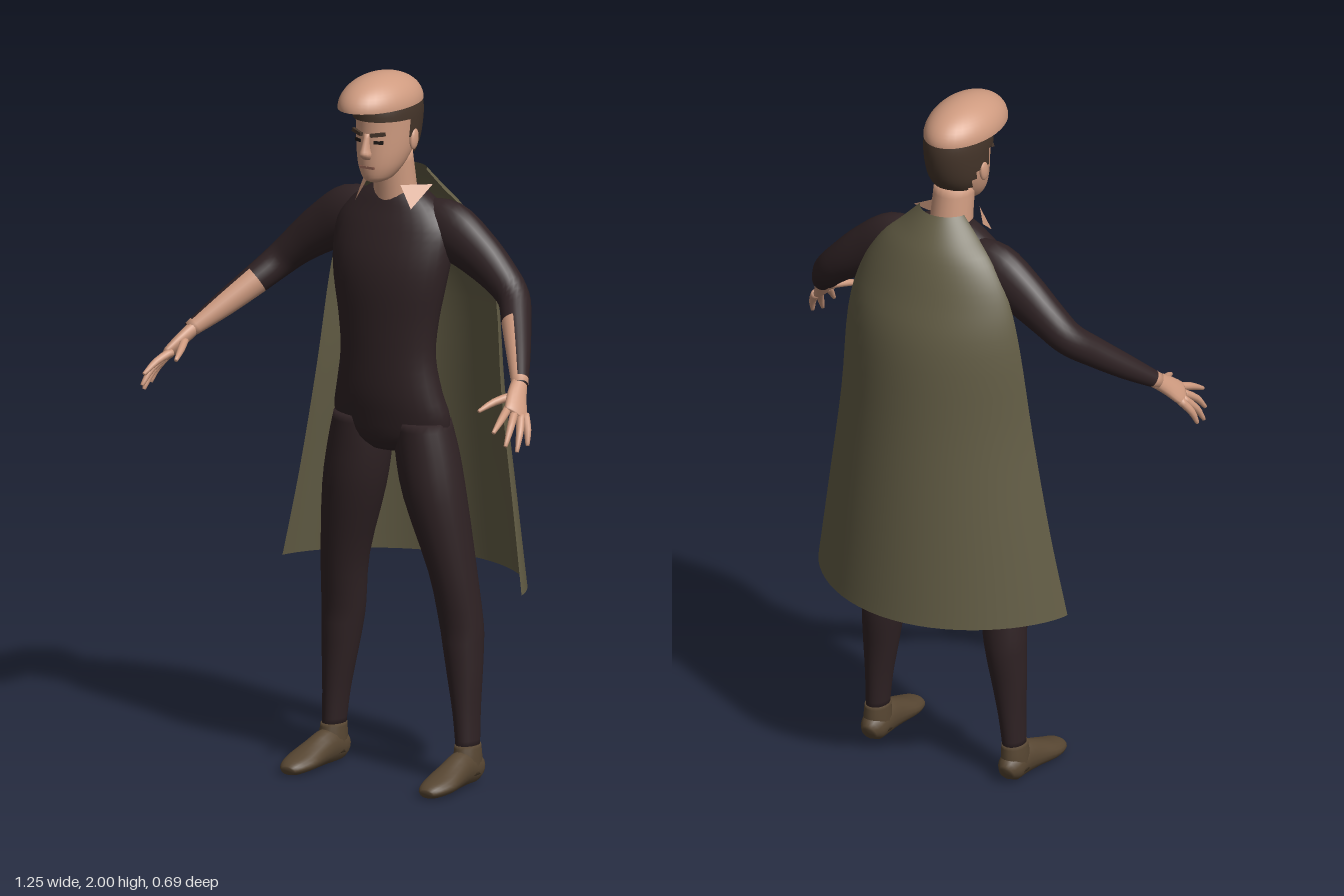
import * as THREE from 'three';

const material = (name, color, side = THREE.FrontSide) => {
  const m = new THREE.MeshStandardMaterial({ color, side });
  m.name = name;
  return m;
};
const skin = material('skin', 0xcf9b80, THREE.DoubleSide);
const suit = material('dark suit', 0x2f2224);
const boots = material('brown boots', 0x574632);
const hair = material('brown hair', 0x45352a, THREE.DoubleSide);
const cloth = material('olive cape', 0x635d45, THREE.DoubleSide);
const dark = material('dark eyes', 0x1d1715);
const lip = material('lips', 0x8f5f50);

const V = (x, y, z) => new THREE.Vector3(x, y, z);

// Catmull-Rom refinement of a list of number rows
function refine(rows, k) {
  const out = [];
  for (let i = 0; i < rows.length - 1; i++) {
    const [a, b, c, d] = [rows[Math.max(i - 1, 0)], rows[i], rows[i + 1], rows[Math.min(i + 2, rows.length - 1)]];
    for (let s = 0; s < k; s++) {
      const t = s / k;
      out.push(b.map((_, j) => b[j] + 0.5 * t * (c[j] - a[j]
        + t * (2 * a[j] - 5 * b[j] + 4 * c[j] - d[j] + t * (3 * (b[j] - c[j]) + d[j] - a[j])))));
    }
  }
  out.push(rows[rows.length - 1]);
  return out;
}

// Surface through rows of points; pick(centroid, row) gives a material index, or -1 for a gap
function grid(rows, { closed = false, caps = false, pick = () => 0 } = {}) {
  const n = rows[0].length, pos = [], buckets = [[], []];
  rows.forEach(r => r.forEach(p => pos.push(p.x, p.y, p.z)));
  for (let i = 0; i < rows.length - 1; i++) {
    for (let j = 0; j < (closed ? n : n - 1); j++) {
      const k = (j + 1) % n;
      const mid = rows[i][j].clone().add(rows[i][k]).add(rows[i + 1][j]).add(rows[i + 1][k]).multiplyScalar(0.25);
      const m = pick(mid, i);
      if (m < 0) continue;
      const a = i * n + j, b = i * n + k, c = b + n, d = a + n;
      buckets[m].push(a, b, c, a, c, d);
    }
  }
  if (caps) for (const i of [0, rows.length - 1]) {
    const mid = rows[i].reduce((s, p) => s.add(p), V(0, 0, 0)).multiplyScalar(1 / n);
    const id = pos.push(mid.x, mid.y, mid.z) / 3 - 1;
    for (let j = 0; j < n; j++) {
      const a = i * n + j, b = i * n + (j + 1) % n;
      buckets[0].push(...(i ? [id, a, b] : [id, b, a]));
    }
  }
  const g = new THREE.BufferGeometry();
  g.setAttribute('position', new THREE.Float32BufferAttribute(pos, 3));
  g.setIndex([...buckets[0], ...buckets[1]]);
  g.addGroup(0, buckets[0].length, 0);
  g.addGroup(buckets[0].length, buckets[1].length, 1);
  g.computeVertexNormals();
  return g;
}

// Elliptical rings [x, y, z, width radius, depth radius]; upright rings stay level
function loft(rings, { n = 20, k = 3, up = V(0, 1, 0), upright = false, pick } = {}) {
  const R = refine(rings, k), at = i => V(...R[Math.min(Math.max(i, 0), R.length - 1)].slice(0, 3));
  const rows = R.map((r, i) => {
    const t = upright ? V(0, 1, 0) : at(i + 1).sub(at(i - 1)).normalize();
    const u = (upright ? V(0, 0, -1) : up.clone()).cross(t).normalize(), v = t.clone().cross(u);
    return Array.from({ length: n }, (_, j) => {
      const a = j / n * Math.PI * 2;
      return at(i).addScaledVector(u, r[3] * Math.cos(a)).addScaledVector(v, r[4] * Math.sin(a));
    });
  });
  return grid(rows, { closed: true, caps: !pick || up.caps, pick: pick && ((p, i) => pick(p, at(i).lerp(at(i + 1), 0.5))) });
}

export function createModel() {
  const root = new THREE.Group();
  const add = (name, geo, mat, parent = root) => {
    const m = new THREE.Mesh(geo, mat);
    m.name = name;
    if (!Array.isArray(mat)) geo.clearGroups();
    parent.add(m);
    return m;
  };
  const mirrorX = (rings, s) => rings.map(([x, ...r]) => [x * s, ...r]);

  // Torso and neck
  add('torso', loft([
    [0, 0.93, -0.025, 0.08, 0.05], [0, 0.965, -0.025, 0.165, 0.08], [0, 1.03, -0.018, 0.182, 0.088],
    [0, 1.1, -0.005, 0.165, 0.086], [0, 1.2, 0.002, 0.147, 0.083], [0, 1.3, 0, 0.155, 0.088],
    [0, 1.4, -0.006, 0.174, 0.096], [0, 1.48, -0.018, 0.185, 0.098], [0, 1.56, -0.034, 0.183, 0.088],
    [0, 1.61, -0.042, 0.15, 0.075], [0, 1.645, -0.045, 0.105, 0.064], [0, 1.665, -0.045, 0.07, 0.05]],
  { n: 32, upright: true }), suit);
  add('neck', loft([[0, 1.6, -0.04, 0.064, 0.06], [0, 1.67, -0.032, 0.059, 0.06], [0, 1.77, -0.015, 0.056, 0.06]],
    { upright: true }), skin);

  // Head
  const headRings = [
    [0, 1.698, 0.062, 0.018, 0.022], [0, 1.708, 0.052, 0.038, 0.048], [0, 1.735, 0.038, 0.056, 0.069],
    [0, 1.765, 0.024, 0.067, 0.085], [0, 1.8, 0.012, 0.074, 0.097], [0, 1.85, 0.005, 0.078, 0.104],
    [0, 1.9, 0.004, 0.079, 0.105], [0, 1.94, 0.004, 0.07, 0.09], [0, 1.965, 0.01, 0.045, 0.06]];
  const head = new THREE.Group();
  head.name = 'head';
  root.add(head);
  add('face', loft(headRings, { n: 28, upright: true }), skin, head);
  add('hair', loft(headRings.map(([x, y, z, a, b]) => [x, y, z - 0.002, a + 0.009, b + 0.009]), {
    n: 36, k: 4, upright: true,
    pick: p => (p.y > 1.872 || (p.z < 0.015 && p.y > 1.825) || (p.z < -0.035 && p.y > 1.762)) ? 0 : -1,
  }), hair, head);
  const dome = add('skullCap', new THREE.SphereGeometry(1, 36, 14, 0, Math.PI * 2, 0, Math.PI / 2), skin, head);
  dome.scale.set(0.097, 0.085, 0.155);
  dome.position.set(0, 1.915, 0.04);
  add('nose', loft([[0, 1.768, 0.106, 0.012, 0.01], [0, 1.782, 0.113, 0.017, 0.02],
    [0, 1.8, 0.112, 0.012, 0.017], [0, 1.84, 0.106, 0.008, 0.008]], { n: 12, upright: true }), skin, head);
  add('mouth', new THREE.BoxGeometry(0.046, 0.007, 0.008), lip, head).position.set(0, 1.744, 0.104);

  for (const s of [1, -1]) {
    const side = s > 0 ? 'left' : 'right';

    // Facial features
    const brow = add(side + 'Brow', new THREE.BoxGeometry(0.042, 0.01, 0.009), hair, head);
    brow.position.set(s * 0.034, 1.84, 0.103);
    brow.rotation.set(0, s * 0.4, s * 0.14);
    const eye = add(side + 'Eye', new THREE.BoxGeometry(0.026, 0.009, 0.006), dark, head);
    eye.position.set(s * 0.033, 1.817, 0.099);
    eye.rotation.y = s * 0.4;
    const ear = add(side + 'Ear', new THREE.SphereGeometry(1, 12, 10), skin, head);
    ear.scale.set(0.009, 0.03, 0.018);
    ear.position.set(s * 0.084, 1.815, 0);
    ear.rotation.x = -0.15;

    // Collar point
    const flap = new THREE.BufferGeometry().setFromPoints(
      [V(s * 0.055, 1.685, 0.024), V(s * 0.112, 1.68, -0.05), V(s * 0.092, 1.622, 0.028)]);
    flap.computeVertexNormals();
    add(side + 'Collar', flap, skin);

    // Arm: the sleeve is slit open along the inner forearm
    const inner = V(-s * 0.6, -0.25, 0.75);
    const armUp = V(0, 1, 0);
    armUp.caps = true;
    add(side + 'Arm', loft(mirrorX([
      [0.07, 1.575, -0.06, 0.045, 0.06], [0.16, 1.557, -0.06, 0.058, 0.082], [0.25, 1.507, -0.06, 0.054, 0.07],
      [0.33, 1.448, -0.057, 0.049, 0.055], [0.385, 1.398, -0.042, 0.045, 0.047], [0.43, 1.347, 0.012, 0.041, 0.042],
      [0.49, 1.28, 0.09, 0.033, 0.034], [0.545, 1.22, 0.165, 0.023, 0.022]], s), {
      n: 24, k: 4, up: armUp,
      pick: (p, c) => Math.abs(c.x) > 0.53 || (Math.abs(c.x) > 0.425 && p.clone().sub(c).normalize().dot(inner) > 0.1) ? 1 : 0,
    }), [suit, skin]);

    // Hand
    const hand = new THREE.Group();
    hand.name = side + 'Hand';
    root.add(hand);
    add('palm', loft(mirrorX([[0.535, 1.23, 0.15, 0.022, 0.02], [0.555, 1.195, 0.195, 0.031, 0.018],
      [0.574, 1.164, 0.227, 0.037, 0.015], [0.58, 1.155, 0.24, 0.032, 0.009]], s),
    { n: 16, up: V(s * 0.8, 0.6, 0.08) }), skin, hand);
    const fingers = {
      thumb: [[0.545, 1.198, 0.19], [0.517, 1.186, 0.25], [0.5, 1.168, 0.3]],
      indexFinger: [[0.556, 1.172, 0.24], [0.57, 1.153, 0.293], [0.577, 1.127, 0.342]],
      middleFinger: [[0.574, 1.16, 0.236], [0.592, 1.128, 0.282], [0.6, 1.087, 0.317]],
      ringFinger: [[0.586, 1.152, 0.222], [0.607, 1.112, 0.258], [0.616, 1.067, 0.285]],
      littleFinger: [[0.59, 1.152, 0.206], [0.612, 1.116, 0.227], [0.622, 1.077, 0.242]],
    };
    for (const [name, path] of Object.entries(fingers)) {
      const radii = [0.012, 0.0105, 0.0055];
      add(name, loft(mirrorX(path.map((p, i) => [...p, radii[i], radii[i]]), s), { n: 10 }), skin, hand);
    }

    // Leg
    add(side + 'Leg', loft(mirrorX([
      [0.221, 0.1, -0.06, 0.03, 0.04], [0.215, 0.2, -0.063, 0.036, 0.045], [0.207, 0.3, -0.066, 0.048, 0.051],
      [0.2, 0.38, -0.069, 0.056, 0.058], [0.194, 0.45, -0.068, 0.062, 0.06], [0.177, 0.6, -0.05, 0.067, 0.07],
      [0.134, 0.8, -0.03, 0.089, 0.086], [0.111, 0.93, -0.025, 0.09, 0.086], [0.1, 1.02, -0.02, 0.078, 0.08]], s),
    { n: 24, upright: true }), suit);

    // Boot
    add(side + 'Foot', loft(mirrorX([
      [0.222, 0.032, -0.108, 0.02, 0.022], [0.222, 0.042, -0.085, 0.036, 0.042], [0.222, 0.05, -0.03, 0.038, 0.05],
      [0.226, 0.04, 0.03, 0.043, 0.04], [0.229, 0.028, 0.09, 0.049, 0.028], [0.229, 0.02, 0.138, 0.036, 0.02],
      [0.229, 0.015, 0.157, 0.02, 0.011]], s), { n: 18 }), boots);
    add(side + 'Ankle', loft(mirrorX([[0.222, 0.03, -0.055, 0.037, 0.05], [0.222, 0.075, -0.058, 0.036, 0.048],
      [0.221, 0.112, -0.06, 0.033, 0.043]], s), { n: 18, upright: true }), boots);
  }

  // Cape: rows of [height, half width, edge z, back z]
  const cape = refine([
    [1.71, 0.07, -0.08, -0.128], [1.66, 0.12, -0.09, -0.165], [1.6, 0.18, -0.108, -0.2], [1.5, 0.238, -0.115, -0.238],
    [1.36, 0.275, -0.118, -0.28], [1.1, 0.305, -0.1, -0.3], [0.8, 0.352, -0.085, -0.325], [0.555, 0.395, -0.065, -0.345]], 4);
  add('cape', grid(cape.map(([y, w, edge, back]) => Array.from({ length: 33 }, (_, j) => {
    const a = (j / 32 - 0.5) * Math.PI;
    return V(w * Math.sin(a), y, edge + (back - edge) * Math.pow(Math.max(Math.cos(a), 0), 1.4));
  }))), cloth);

  return root;
}
